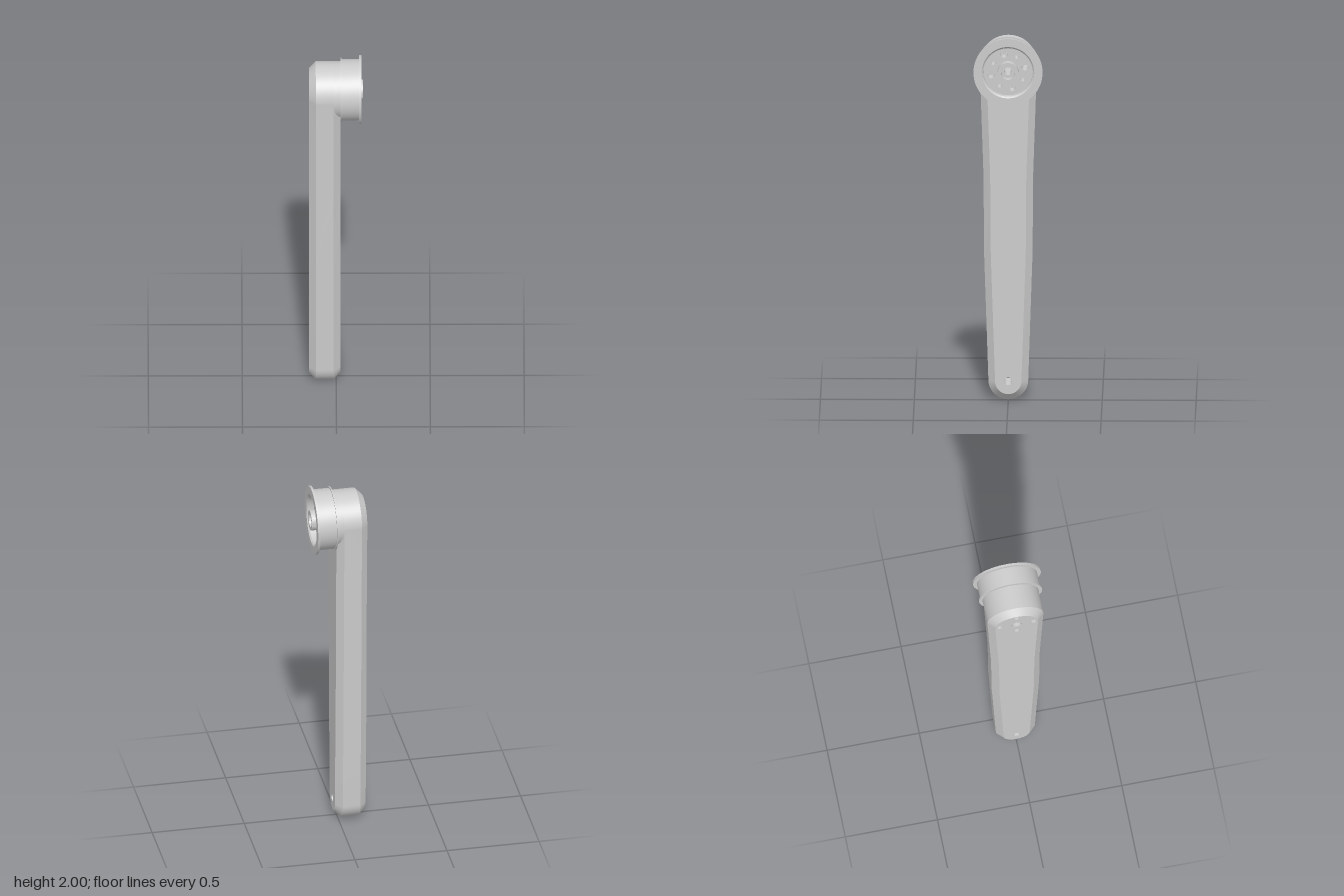
import * as THREE from 'three';
import { toCreasedNormals } from 'three/addons/utils/BufferGeometryUtils.js';

const AXLE_Y = 1.816, TOP_R = 0.152, FOOT_Y = 0.106, FOOT_R = 0.106;
const BACK = -0.145, FACE = 0.022, BEVEL = 0.036, FLOOR = 0.095;
const ARM_HOLE_R = 0.018, PIVOT_R = 0.021, BORE_R = 0.028;

const material = new THREE.MeshStandardMaterial({ color: 0xcccccc, side: THREE.DoubleSide });

function add(parent, name, geometry) {
  const mesh = new THREE.Mesh(geometry, material);
  mesh.name = name;
  parent.add(mesh);
  return mesh;
}

// Arm outline inset by d: wide round top, slightly waisted sides, narrow round foot
function outline(d) {
  const pts = [], n = 40;
  const arc = (cy, r, from) => {
    for (let i = 0; i <= n; i++) {
      const a = from + Math.PI * i / n;
      pts.push(new THREE.Vector2((r - d) * Math.cos(a), cy + (r - d) * Math.sin(a)));
    }
  };
  arc(AXLE_Y, TOP_R, 0);
  pts.push(new THREE.Vector2(d - 0.132, 1.22), new THREE.Vector2(d - 0.129, 0.8));
  arc(FOOT_Y, FOOT_R, Math.PI);
  pts.push(new THREE.Vector2(0.129 - d, 0.8), new THREE.Vector2(0.132 - d, 1.22));
  return pts;
}

// One band of the arm's skin between two cross-sections
function band(x0, d0, x1, d1) {
  const a = outline(d0), b = outline(d1), n = a.length;
  const pos = [], idx = [];
  for (let i = 0; i < n; i++) {
    pos.push(x0, a[i].y, -a[i].x, x1, b[i].y, -b[i].x);
    const p = 2 * i, q = 2 * ((i + 1) % n);
    idx.push(p, q, p + 1, q, q + 1, p + 1);
  }
  const g = new THREE.BufferGeometry();
  g.setAttribute('position', new THREE.Float32BufferAttribute(pos, 3));
  g.setIndex(idx);
  g.computeVertexNormals();
  return g;
}

// Flat plate facing +x with round holes [u, v, radius]
function plate(shape, holes, x) {
  for (const [u, v, r] of holes) {
    shape.holes.push(new THREE.Path().absarc(u, v, r, 0, Math.PI * 2, true));
  }
  return new THREE.ShapeGeometry(shape, 32).rotateY(Math.PI / 2).translate(x, 0, 0);
}

// Open tube along x at [u, v, radius]
function tube([u, v, r], x0, x1, segments = 32) {
  return new THREE.CylinderGeometry(r, r, x1 - x0, segments, 1, true)
    .rotateZ(-Math.PI / 2).translate((x0 + x1) / 2, v, -u);
}

// Turned part about the axle, profile given as [radius, x]
function turned(profile) {
  const g = new THREE.LatheGeometry(profile.map(p => new THREE.Vector2(...p)), 80);
  return toCreasedNormals(g.rotateZ(-Math.PI / 2), 0.5).translate(0, AXLE_Y, 0);
}

// Four holes evenly spaced around the axle
function holeCircle(radius, angle, r) {
  return [0, 1, 2, 3].map(i => {
    const a = angle + i * Math.PI / 2;
    return [radius * Math.cos(a), AXLE_Y + radius * Math.sin(a), r];
  });
}

export function createModel() {
  const model = new THREE.Group();
  model.name = 'crankArm';

  // Arm with chamfered edges
  const arm = new THREE.Group();
  arm.name = 'arm';
  model.add(arm);
  const armHoles = holeCircle(0.092, 0, ARM_HOLE_R);
  const pivot = [0, FOOT_Y, PIVOT_R];
  const capHoles = [...armHoles, pivot, [0, AXLE_Y, BORE_R]];
  add(arm, 'backChamfer', band(BACK, BEVEL, BACK + BEVEL, 0));
  add(arm, 'armSide', band(BACK + BEVEL, 0, FACE - BEVEL, 0));
  add(arm, 'frontChamfer', band(FACE - BEVEL, 0, FACE, BEVEL));
  add(arm, 'armFace', plate(new THREE.Shape(outline(BEVEL)), capHoles, FACE));
  const back = plate(new THREE.Shape(outline(BEVEL)), capHoles, 0);
  add(arm, 'armBack', back.rotateY(Math.PI).translate(BACK, 0, 0));
  for (const h of armHoles) add(arm, 'boltHole', tube(h, BACK, FACE));
  add(arm, 'pivotHole', tube(pivot, BACK, FACE));

  // Round boss that fills the chamfer behind the wheel
  add(arm, 'boss', turned([[TOP_R, FACE - BEVEL], [TOP_R, FACE], [TOP_R - BEVEL, FACE]]));

  // Flanged wheel with a recessed face
  const wheel = new THREE.Group();
  wheel.name = 'wheel';
  model.add(wheel);
  add(wheel, 'wheelRim', turned([
    [TOP_R - 0.002, FACE], [0.171, FACE], [0.171, 0.029], [0.163, 0.029], [0.163, 0.122],
    [0.184, 0.122], [0.184, 0.135], [0.14, 0.135], [0.132, 0.127], [0.132, FLOOR]]));
  const wheelHoles = [
    ...holeCircle(0.093, 0.235, 0.018),
    ...holeCircle(0.091, 1.05, 0.012)];
  const disc = new THREE.Shape().absarc(0, AXLE_Y, 0.132, 0, Math.PI * 2);
  add(wheel, 'wheelFace', plate(disc, [...wheelHoles, [0, AXLE_Y, 0.053]], FLOOR));
  for (const h of wheelHoles) add(wheel, 'wheelHole', tube(h, FACE, FLOOR));

  // Hub with a stepped bore running through the arm
  add(wheel, 'hub', turned([
    [0.055, FLOOR - 0.005], [0.055, 0.143], [0.037, 0.143], [0.037, 0.1],
    [PIVOT_R, 0.1], [PIVOT_R, FACE], [BORE_R, FACE], [BORE_R, BACK]]));

  return model;
}
